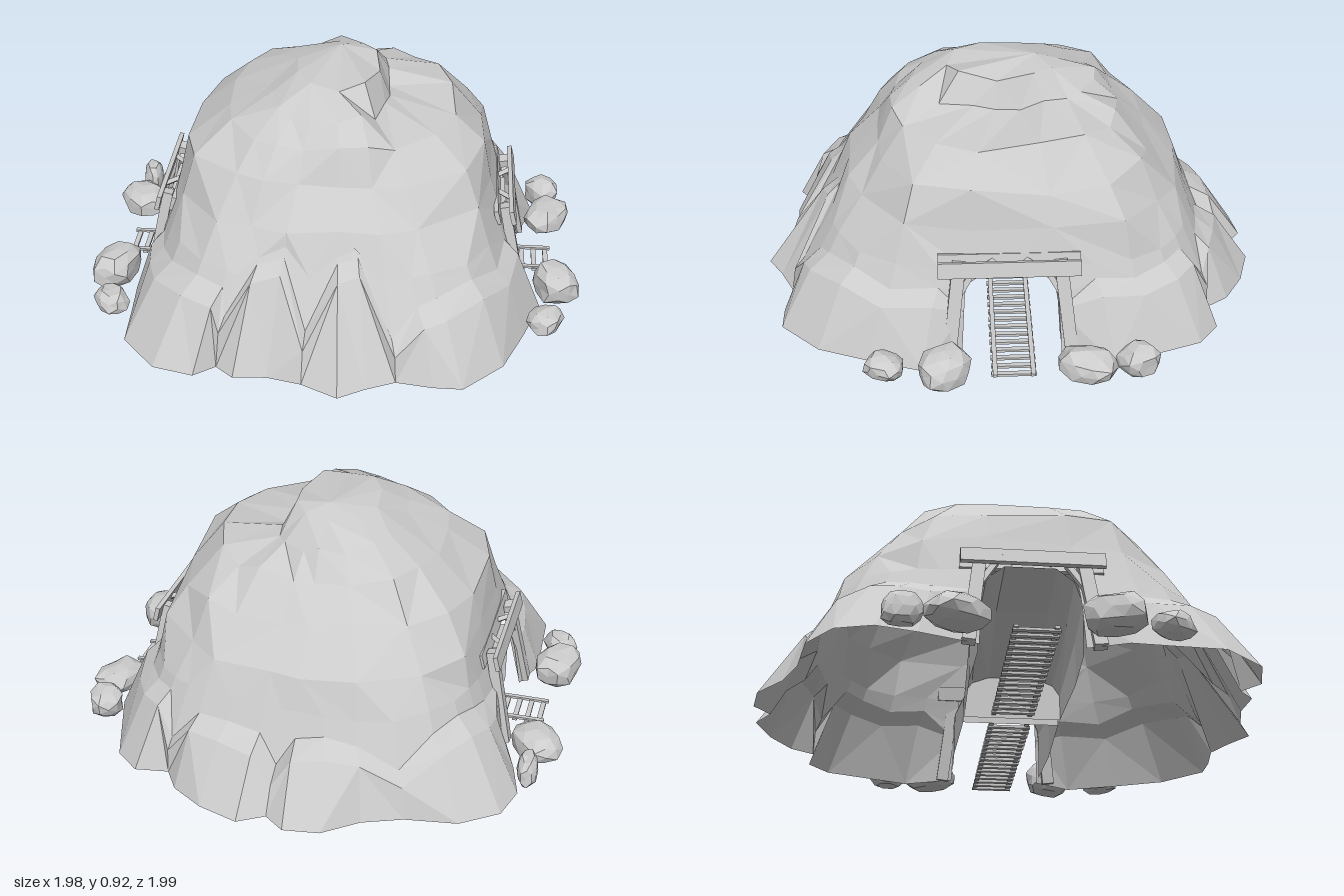
import * as THREE from 'three';

const rock = new THREE.MeshStandardMaterial({ color: 0xcccccc, flatShading: true, side: THREE.DoubleSide });
const wood = new THREE.MeshStandardMaterial({ color: 0xcccccc, flatShading: true });

// repeatable noise in -1..1
const noise = (a, b = 0) => {
  const v = Math.sin(a * 127.1 + b * 311.7) * 43758.5453;
  return (v - Math.floor(v)) * 2 - 1;
};

function mesh(name, geometry, material) {
  const m = new THREE.Mesh(geometry, material);
  m.name = name;
  return m;
}

function surface(points, index) {
  const g = new THREE.BufferGeometry();
  g.setAttribute('position', new THREE.Float32BufferAttribute(points.flat(), 3));
  g.setIndex(index);
  g.computeVertexNormals();
  return g;
}

// squared timber between two points
function timber(name, a, b, width, depth) {
  const from = new THREE.Vector3(...a), to = new THREE.Vector3(...b);
  const m = mesh(name, new THREE.BoxGeometry(width, from.distanceTo(to), depth), wood);
  m.position.copy(from).add(to).multiplyScalar(0.5);
  m.quaternion.setFromUnitVectors(new THREE.Vector3(0, 1, 0), to.sub(from).normalize());
  return m;
}

// foot of the mound anticlockwise from the front: x, z, height of the rock leaning there
const outline = [
  [0.07, 0.99, 0.34], [0.17, 0.93, 0.36], [0.28, 0.88, 0.1], [0.42, 0.9, 0.2], [0.53, 0.9, 0.22],
  [0.68, 0.75, 0.24], [0.76, 0.55, 0.2], [0.83, 0.35, 0.22], [0.75, 0.2, 0.18], [0.75, 0.01, 0.18],
  [0.75, -0.18, 0.18], [0.82, -0.38, 0.24], [0.76, -0.55, 0.22], [0.7, -0.72, 0.24], [0.6, -0.8, 0.25],
  [0.47, -0.78, 0.1], [0.41, -0.87, 0.22], [0.28, -0.95, 0.22], [0.12, -1, 0.2], [0.02, -0.94, 0.1],
  [-0.06, -1, 0.2], [-0.2, -0.98, 0.22], [-0.33, -0.88, 0.2], [-0.48, -0.82, 0.12], [-0.68, -0.79, 0.22],
  [-0.82, -0.69, 0.24], [-0.86, -0.55, 0.22], [-0.82, -0.4, 0.2], [-0.74, -0.18, 0.18], [-0.74, 0.01, 0.18],
  [-0.74, 0.2, 0.18], [-0.8, 0.35, 0.2], [-0.79, 0.5, 0.2], [-0.78, 0.7, 0.22], [-0.64, 0.86, 0.24],
  [-0.48, 0.9, 0.23], [-0.4, 0.84, 0.14], [-0.33, 0.9, 0.32], [-0.2, 0.89, 0.35], [-0.07, 0.92, 0.12],
];
// wall section: height, right-hand width, left-hand width, front, back, squareness
const wall = [
  [0, 0.74, 0.74, 0.92, 0.88, 3.4],
  [0.2, 0.71, 0.71, 0.8, 0.79, 3.3],
  [0.34, 0.66, 0.66, 0.72, 0.73, 3.2],
  [0.48, 0.62, 0.63, 0.63, 0.67, 3],
  [0.62, 0.58, 0.59, 0.53, 0.55, 2.8],
  [0.74, 0.46, 0.43, 0.46, 0.44, 2.6],
  [0.82, 0.2, 0.27, 0.38, 0.35, 2.4],
  [0.885, 0.16, 0.17, 0.24, 0.2, 2.2],
];
const atDoor = ([x, z]) => Math.abs(x) > 0.6 && Math.abs(z) < 0.25;

// wall radius at a height in direction s, c
function wallRadius(y, s, c) {
  const k = Math.max(1, wall.findIndex((row) => row[0] >= y));
  const t = (y - wall[k - 1][0]) / (wall[k][0] - wall[k - 1][0]);
  const [, right, left, front, back, power] = wall[k].map((v, j) => THREE.MathUtils.lerp(wall[k - 1][j], v, t));
  const width = s > 0 ? right : left, depth = c > 0 ? front : back;
  return (Math.abs(s / width) ** power + Math.abs(c / depth) ** power) ** (-1 / power);
}

// mound shell: leaning rocks, craggy walls, chunkier facets towards the summit, an opening each side
function mound() {
  const n = outline.length;
  const rings = [outline.map(([x, z]) => [x, 0, z]), [], [], []];
  outline.forEach(([x, z, h], i) => {
    const foot = Math.hypot(x, z), s = x / foot, c = z / foot;
    const door = atDoor(outline[i]);
    const pull = 0.6 * (1 - h / 0.42);
    const put = (ring, y, r) => (rings[ring][i] = [s * r, y, c * r]);
    // rock top, its joint with the wall, door lintel height
    put(1, h, door ? wallRadius(h, s, c) : THREE.MathUtils.lerp(wallRadius(h, s, c), foot, pull));
    put(2, h + 0.05, wallRadius(h + 0.05, s, c));
    const lintel = door ? 0.34 : Math.max(0.34, h + 0.08) + 0.01 * noise(i);
    put(3, lintel, wallRadius(lintel, s, c));
    // upper wall
    for (let k = 3; k < wall.length; k++) {
      rings[k + 1] ??= [];
      const drop = k === 6 && s > 0.5 ? 0.04 : 0;
      put(k + 1, wall[k][0] - drop + 0.02 * noise(i + 50, k), wallRadius(wall[k][0], s, c) * (1 + 0.03 * noise(i, k)));
    }
  });
  const points = rings.flat(), index = [];
  const triangle = (a, b, c) => {
    if (a !== b && b !== c && c !== a) index.push(a, b, c);
  };
  // point number; coarser rings share one point between neighbouring columns
  const last = rings.length - 1;
  const id = (ring, i) => {
    const step = ring < 4 ? 1 : ring < last ? 2 : 4;
    return ring * n + (i % n) - ((i % n) % step);
  };
  for (let ring = 0; ring < last; ring++) {
    for (let i = 0; i < n; i++) {
      if (ring < 3 && atDoor(outline[i]) && atDoor(outline[(i + 1) % n])) continue;
      const a = id(ring, i), b = id(ring, i + 1), c = id(ring + 1, i + 1), d = id(ring + 1, i);
      if (noise(i, ring + 9) > 0) {
        triangle(a, b, c);
        triangle(a, c, d);
      } else {
        triangle(a, b, d);
        triangle(b, c, d);
      }
    }
  }
  // summit
  const top = points.push([0, 0.91, -0.11]) - 1;
  for (let i = 0; i < n; i++) triangle(id(last, i), id(last, i + 1), top);
  return mesh('rockMound', surface(points, index), rock);
}

// blind tunnel whose roof drops towards the middle
function tunnel(side) {
  const arch = [[1, 0], [1, 0.6], [0.85, 0.85], [0.5, 1], [0, 1], [-0.5, 1], [-0.85, 0.85], [-1, 0.6], [-1, 0]];
  const sections = [[0.68, 0.19, 0.34], [0.4, 0.2, 0.29], [0.03, 0.19, 0.17]];
  const points = [], index = [], n = arch.length;
  for (const [x, half, h] of sections) for (const [z, y] of arch) points.push([side * x, y * h, z * half + 0.01]);
  for (let k = 0; k < 2; k++) for (let i = 0; i < n - 1; i++) {
    const a = k * n + i;
    index.push(a, a + n, a + 1, a + 1, a + n, a + n + 1);
  }
  for (let i = 1; i < n - 1; i++) index.push(2 * n, 2 * n + i, 2 * n + i + 1);
  return mesh('tunnelLining', surface(points, index), rock);
}

// leaning timber frame around an opening
function doorFrame(side) {
  const g = new THREE.Group();
  g.name = 'doorFrame';
  for (const x of [0.645, 0.705]) {
    const beam = timber('beam', [side * x, 0.367, -0.25], [side * x, 0.367, 0.285], 0.018, 0.06);
    beam.rotateY(side * 0.25);
    g.add(beam);
  }
  for (const e of [-1, 1]) {
    const z = (v) => 0.015 + e * v;
    g.add(timber('post', [side * 0.755, 0, z(0.235)], [side * 0.675, 0.38, z(0.19)], 0.04, 0.05));
    g.add(timber('brace', [side * 0.715, 0.2, z(0.225)], [side * 0.675, 0.36, z(0.13)], 0.022, 0.022));
    g.add(timber('beamTie', [side * 0.645, 0.37, z(0.06)], [side * 0.705, 0.37, z(0.12)], 0.018, 0.018));
  }
  return g;
}

// rails and sleepers
function track(side) {
  const g = new THREE.Group();
  g.name = 'track';
  for (const z of [-0.065, 0.078]) {
    const rail = mesh('rail', new THREE.BoxGeometry(0.84, 0.01, 0.018), wood);
    rail.position.set(side * 0.465, 0.011, z);
    g.add(rail);
  }
  for (let i = 0; i < 17; i++) {
    const sleeper = mesh('sleeper', new THREE.BoxGeometry(0.02, 0.01, 0.17), wood);
    sleeper.position.set(side * (0.865 - i * 0.049), 0.005, 0.008);
    g.add(sleeper);
  }
  return g;
}

// blocky low-poly boulder resting on the ground
function boulder(x, z, rx, height, rz, turn, seed) {
  const g = new THREE.IcosahedronGeometry(1, 1);
  const p = g.attributes.position, v = new THREE.Vector3();
  for (let i = 0; i < p.count; i++) {
    v.fromBufferAttribute(p, i);
    const key = Math.round(v.x * 50) + Math.round(v.y * 50) * 3.7 + Math.round(v.z * 50) * 7.3;
    const widest = Math.max(Math.abs(v.x), Math.abs(v.y), Math.abs(v.z));
    v.multiplyScalar((0.95 + 0.1 * noise(key, seed)) / widest ** 0.5);
    p.setXYZ(i, v.x * rx, Math.max(0, height * (0.45 + 0.56 * v.y)), v.z * rz);
  }
  g.computeVertexNormals();
  const m = mesh('boulder', g, rock);
  m.position.set(x, 0, z);
  m.rotation.y = turn;
  return m;
}

export function createModel() {
  const model = new THREE.Group();
  model.name = 'rockTunnel';
  model.add(mound());
  for (const side of [1, -1]) model.add(tunnel(side), doorFrame(side), track(side));
  // x, z, half width, height, half depth, turn
  [
    [0.86, -0.46, 0.07, 0.12, 0.08, 0.5], [0.875, -0.27, 0.085, 0.11, 0.115, -0.4],
    [0.89, 0.27, 0.085, 0.14, 0.105, 0.6], [0.845, 0.49, 0.065, 0.09, 0.08, -0.4],
    [-0.88, -0.46, 0.04, 0.12, 0.075, 0.1], [-0.885, -0.27, 0.09, 0.11, 0.115, 0.5],
    [-0.89, 0.28, 0.085, 0.14, 0.12, -0.3], [-0.87, 0.49, 0.065, 0.09, 0.08, 0.5],
  ].forEach((b, i) => model.add(boulder(...b, i + 1)));
  return model;
}
